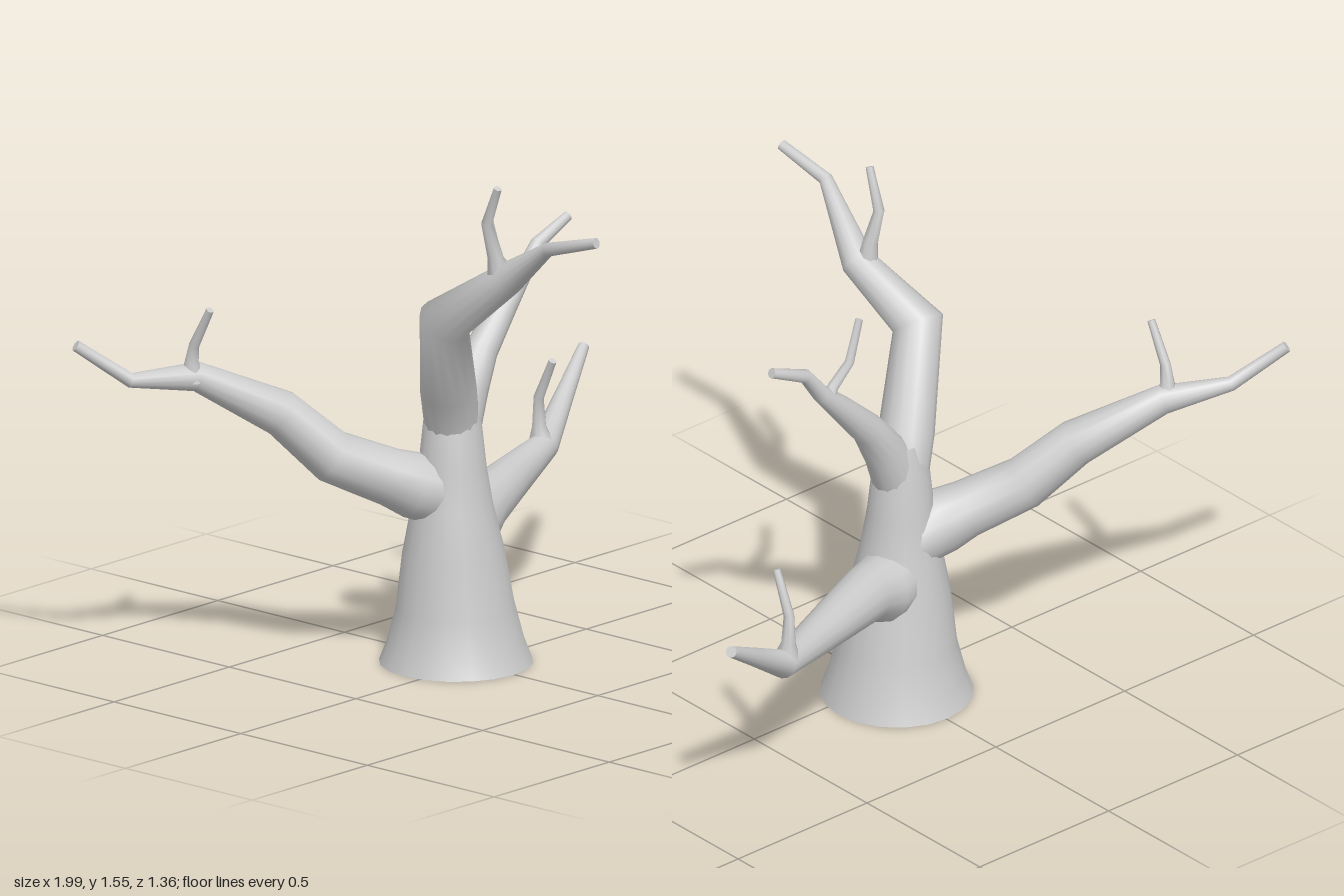
import * as THREE from 'three';

// Tapered limb through nodes [x, y, z, radius], smooth sides, flat caps
function limb(name, nodes, sides) {
  const pts = nodes.map(n => new THREE.Vector3(n[0], n[1], n[2]));
  const last = pts.length - 1;
  const dir = i => pts[i + 1].clone().sub(pts[i]).normalize();
  const pos = [], index = [];
  const u = new THREE.Vector3(0.31, 0.12, 0.94);
  const rings = pts.map((p, i) => {
    const t = i === 0 ? dir(0) : i === last ? dir(last - 1) : dir(i - 1).add(dir(i)).normalize();
    // carry the side vector along so the limb does not twist
    u.addScaledVector(t, -u.dot(t)).normalize();
    const v = t.clone().cross(u);
    return Array.from({ length: sides }, (_, j) => {
      const a = j / sides * Math.PI * 2;
      return p.clone().addScaledVector(u, Math.cos(a) * nodes[i][3]).addScaledVector(v, Math.sin(a) * nodes[i][3]);
    });
  });
  rings.forEach(r => r.forEach(p => pos.push(p.x, p.y, p.z)));
  for (let i = 0; i < last; i++) {
    for (let j = 0; j < sides; j++) {
      const k = (j + 1) % sides;
      const a = i * sides + j, b = i * sides + k;
      index.push(a, b, a + sides, b, b + sides, a + sides);
    }
  }
  // caps have their own vertices for a hard rim
  for (const i of [0, last]) {
    const start = pos.length / 3;
    [pts[i], ...rings[i]].forEach(p => pos.push(p.x, p.y, p.z));
    for (let j = 0; j < sides; j++) {
      const a = start + 1 + j, b = start + 1 + (j + 1) % sides;
      if (i) index.push(start, a, b);
      else index.push(start, b, a);
    }
  }
  const geo = new THREE.BufferGeometry();
  geo.setAttribute('position', new THREE.Float32BufferAttribute(pos, 3));
  geo.setIndex(index);
  geo.computeVertexNormals();
  const mesh = new THREE.Mesh(geo, new THREE.MeshStandardMaterial({ color: 0xcccccc, roughness: 0.9 }));
  mesh.name = name;
  return mesh;
}

export function createModel() {
  const tree = new THREE.Group();
  tree.name = 'bareTree';

  // Trunk with flared foot
  tree.add(limb('trunk', [
    [-0.005, 0, -0.055, 0.226], [-0.005, 0.06, -0.055, 0.203], [-0.007, 0.17, -0.055, 0.175],
    [-0.015, 0.33, -0.055, 0.152], [-0.02, 0.48, -0.055, 0.12], [-0.02, 0.6, -0.055, 0.1],
    [-0.02, 0.73, -0.055, 0.086], [-0.015, 0.83, -0.055, 0.058]], 20));

  // Each branch has one upright twig
  const branches = {
    front: {
      branch: [[-0.02, 0.7, -0.055, 0.08], [-0.06, 0.84, -0.035, 0.083], [-0.205, 1.1, 0.08, 0.078],
        [-0.138, 1.25, 0.27, 0.05], [-0.215, 1.4, 0.5, 0.021], [-0.195, 1.448, 0.672, 0.016]],
      twig: [[-0.15, 1.24, 0.245, 0.035], [-0.16, 1.32, 0.24, 0.024], [-0.185, 1.42, 0.23, 0.017],
        [-0.197, 1.54, 0.285, 0.012]],
    },
    upperLeft: {
      branch: [[-0.01, 0.7, -0.055, 0.075], [0.04, 0.82, -0.055, 0.066], [0.11, 0.92, -0.06, 0.05],
        [0.22, 1.035, -0.065, 0.038], [0.295, 1.11, -0.065, 0.027], [0.355, 1.192, -0.06, 0.021],
        [0.482, 1.248, -0.057, 0.015]],
      twig: [[0.275, 1.08, -0.065, 0.025], [0.25, 1.12, -0.065, 0.018], [0.19, 1.18, -0.068, 0.015],
        [0.147, 1.305, -0.062, 0.012]],
    },
    right: {
      branch: [[-0.03, 0.51, -0.07, 0.1], [-0.13, 0.55, -0.115, 0.098], [-0.19, 0.58, -0.15, 0.086],
        [-0.335, 0.655, -0.245, 0.08], [-0.445, 0.79, -0.345, 0.07], [-0.655, 0.918, -0.49, 0.044],
        [-0.852, 0.932, -0.57, 0.022], [-0.985, 1.047, -0.665, 0.017]],
      twig: [[-0.67, 0.91, -0.49, 0.04], [-0.676, 0.965, -0.488, 0.022], [-0.68, 1.02, -0.475, 0.016],
        [-0.682, 1.14, -0.41, 0.012]],
    },
    lowerLeft: {
      branch: [[0.02, 0.395, -0.07, 0.11], [0.11, 0.4, -0.105, 0.1], [0.18, 0.418, -0.125, 0.084],
        [0.4, 0.436, -0.215, 0.066], [0.675, 0.458, -0.325, 0.043], [0.83, 0.565, -0.388, 0.029],
        [0.985, 0.67, -0.452, 0.017]],
      twig: [[0.655, 0.465, -0.32, 0.042], [0.652, 0.52, -0.325, 0.022], [0.647, 0.61, -0.322, 0.016],
        [0.64, 0.735, -0.26, 0.012]],
    },
  };
  for (const [name, part] of Object.entries(branches)) {
    tree.add(limb(name + 'Branch', part.branch, 14), limb(name + 'Twig', part.twig, 8));
  }
  return tree;
}
